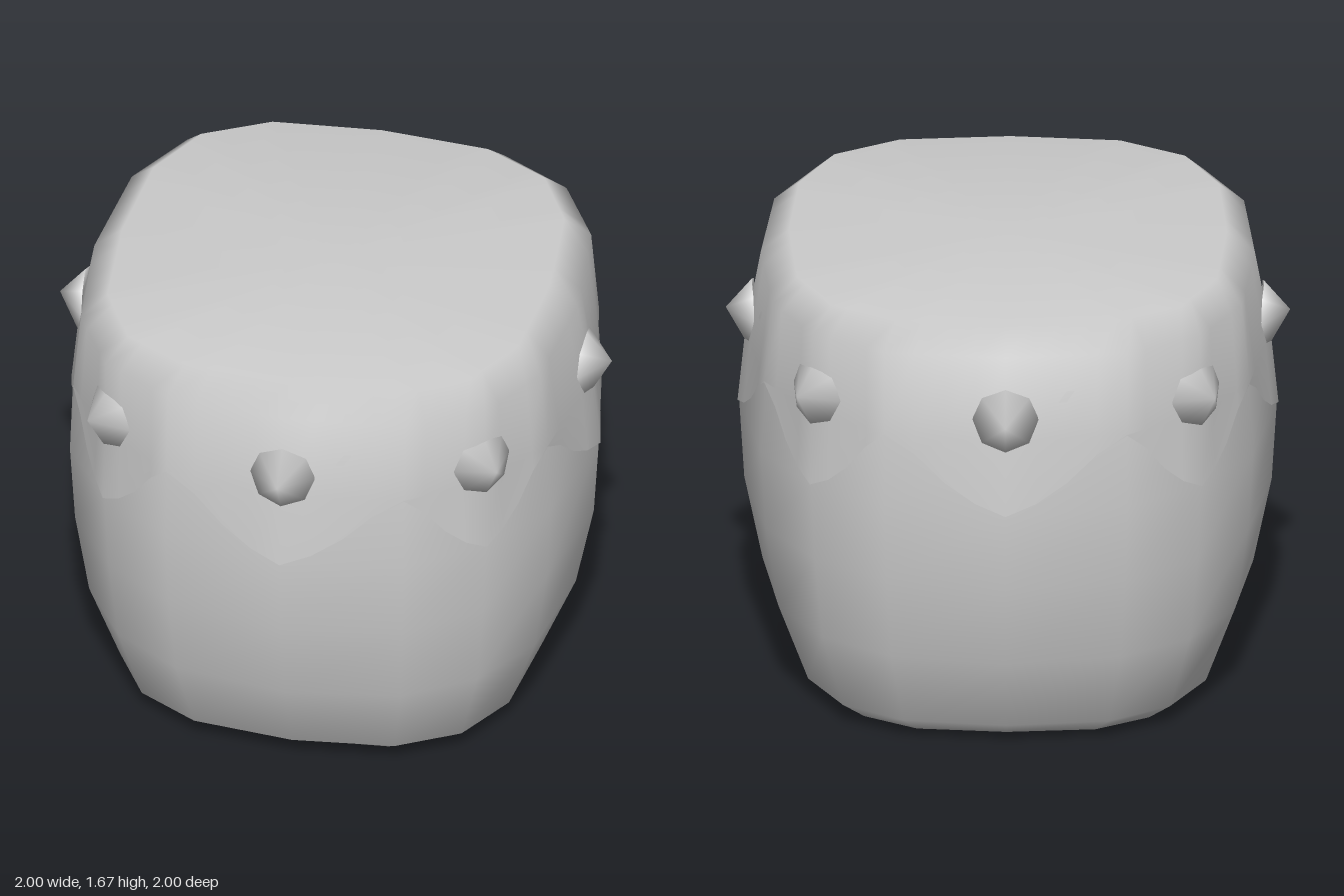
import * as THREE from 'three';
import { mergeVertices } from 'three/addons/utils/BufferGeometryUtils.js';

const material = new THREE.MeshStandardMaterial({ color: 0xcccccc, side: THREE.DoubleSide });

// Barrel profile: height, half width on the axes, squareness of the section
const PROFILE = [
  [0, 0.63, 1], [0.08, 0.745, 0.7], [0.38, 0.87, 0.3], [0.7, 0.935, 0], [1, 0.953, 0],
  [1.28, 0.925, 0.2], [1.585, 0.87, 0.8], [1.67, 0.77, 1],
];

// Corner i of the rounded-square, 16-sided section
function corner(i, r, s) {
  const a = 0.915 + 0.045 * s, b = 0.453 + 0.05 * s, d = 0.726 + 0.075 * s;
  const [x, z] = [[0, 1], [b, a], [d, d], [a, b]][i % 4];
  const turn = (Math.floor(i / 4) * Math.PI) / 2;
  const c = Math.cos(turn), n = Math.sin(turn);
  return new THREE.Vector3(r * (x * c + z * n), 0, r * (z * c - x * n));
}

// Point on the faceted barrel at section position u (0..16) and height y
function barrelPoint(u, y, offset = 0) {
  let k = 0;
  while (k < PROFILE.length - 2 && y > PROFILE[k + 1][0]) k++;
  const [y0, r0, s0] = PROFILE[k], [y1, r1, s1] = PROFILE[k + 1];
  const t = (y - y0) / (y1 - y0);
  const at = (i) => corner(i % 16, r0, s0).lerp(corner(i % 16, r1, s1), t);
  const i = Math.floor(u);
  const p = at(i).lerp(at(i + 1), u - i);
  p.multiplyScalar(1 + offset / p.length());
  p.y = y;
  return p;
}

// Smooth closed-around shell from rings listed bottom to top
function shell(rows, columns, point) {
  const positions = [], index = [];
  for (let j = 0; j < rows; j++)
    for (let i = 0; i < columns; i++) positions.push(...point(i, j).toArray());
  for (let j = 0; j < rows - 1; j++)
    for (let i = 0; i < columns; i++) {
      const n = (i + 1) % columns;
      const a = j * columns + i, b = j * columns + n;
      index.push(a, b, b + columns, a, b + columns, a + columns);
    }
  const g = new THREE.BufferGeometry();
  g.setAttribute('position', new THREE.Float32BufferAttribute(positions, 3));
  g.setIndex(index);
  const merged = mergeVertices(g, 1e-5);
  merged.computeVertexNormals();
  return merged;
}

function named(geometry, name) {
  const mesh = new THREE.Mesh(geometry, material);
  mesh.name = name;
  return mesh;
}

// Eight-sided pointed stud facing +z, its rim bent to hug the barrel
function studGeometry() {
  const g = new THREE.ConeGeometry(0.119, 0.08, 8).rotateX(Math.PI / 2);
  g.translate(0, 0, 0.04);
  const p = g.attributes.position;
  for (let i = 0; i < p.count; i++) p.setZ(i, p.getZ(i) - 1.6 * p.getX(i) ** 2);
  g.deleteAttribute('normal');
  g.deleteAttribute('uv');
  const merged = mergeVertices(g, 1e-5);
  merged.computeVertexNormals();
  return merged.rotateX(-0.1);
}

export function createModel() {
  const model = new THREE.Group();
  model.name = 'drum';

  // Barrel with closed bottom and top
  const last = PROFILE.length + 1;
  model.add(named(shell(last + 1, 16, (i, j) => {
    if (j === 0) return new THREE.Vector3(0, 0, 0);
    if (j === last) return new THREE.Vector3(0, 1.665, 0);
    const p = barrelPoint(i, PROFILE[j - 1][0]);
    if (j === last - 1) p.y -= 0.005;
    return p;
  }), 'barrel'));

  // Drum skin, hanging in a point below each stud
  const hem = [1, 1.04, 1.11, 1.21, 1.275];
  const heights = [1.28, 1.585, 1.67];
  model.add(named(shell(5, 64, (i, j) => {
    const u = i / 4;
    if (j === 4) return new THREE.Vector3(0, 1.67, 0);
    const y = j === 0 ? hem[4 - Math.abs((i % 8) - 4)] : heights[j - 1];
    return barrelPoint(u, y, 0.006);
  }), 'drumSkin'));

  // Ring of studs
  const studs = new THREE.Group();
  studs.name = 'studs';
  const geometry = studGeometry();
  for (let i = 0; i < 8; i++) {
    const angle = (i * Math.PI) / 4;
    const radius = i % 2 ? 0.97 : 0.921;
    const stud = named(geometry, 'stud');
    stud.position.set(radius * Math.sin(angle), 1.357, radius * Math.cos(angle));
    stud.rotation.y = angle;
    studs.add(stud);
  }
  model.add(studs);
  return model;
}
